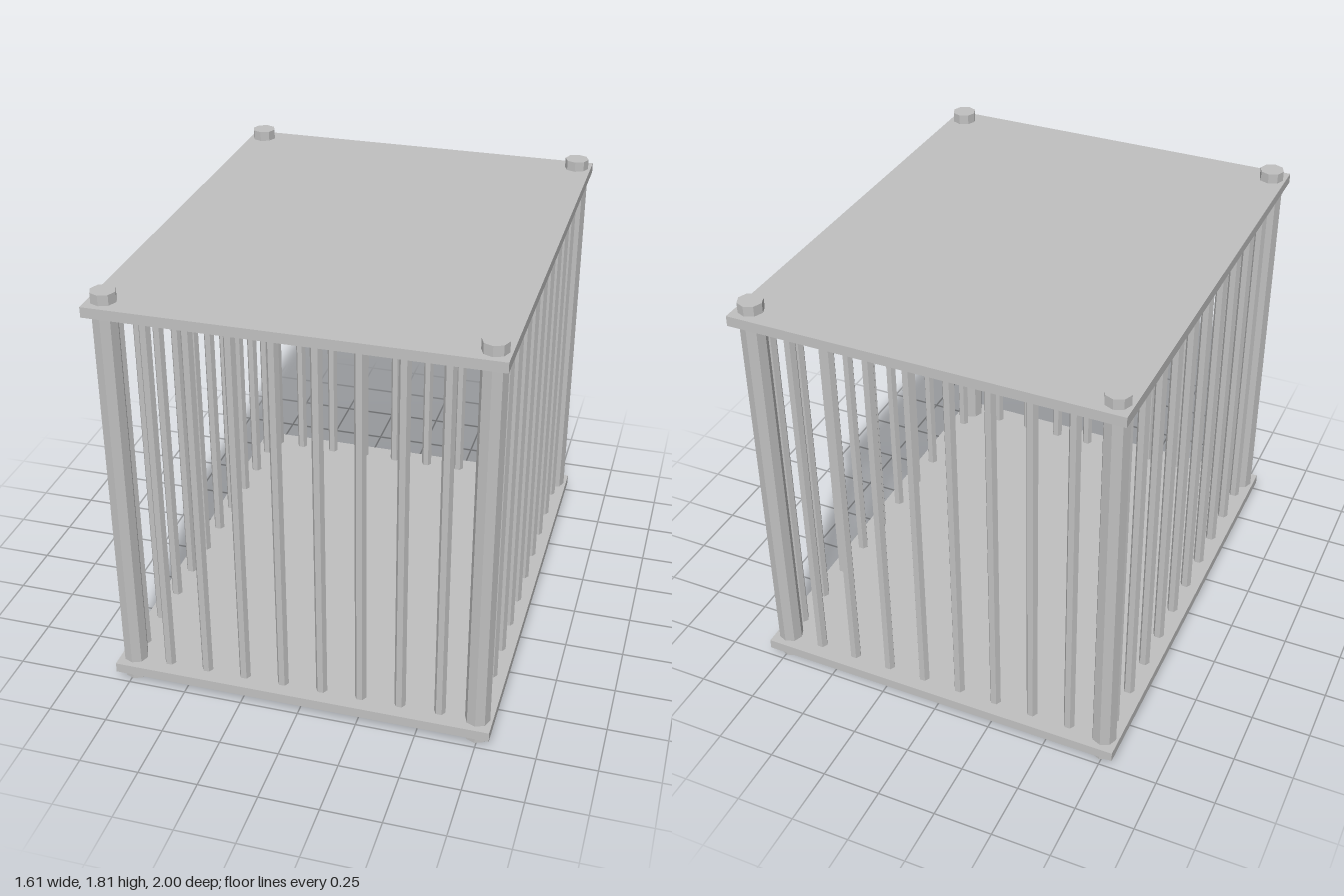
import * as THREE from 'three';

const HEIGHT = 1.807, PLATE = 0.043, GAP = 0.043; // posts stick out past each plate by GAP
const POST_X = 0.743, POST_Z = 0.923;

export function createModel() {
  const cage = new THREE.Group();
  cage.name = 'cage';
  const metal = new THREE.MeshStandardMaterial({ color: 0xc0c0c0, flatShading: true });
  metal.name = 'grey metal';

  const add = (name, geometry, x, y, z) => {
    const mesh = new THREE.Mesh(geometry, metal);
    mesh.name = name;
    mesh.position.set(x, y, z);
    cage.add(mesh);
  };

  // Floor and roof plates
  const plate = new THREE.BoxGeometry(1.612, PLATE, 2);
  add('floorPlate', plate, 0, GAP + PLATE / 2, 0);
  add('roofPlate', plate, 0, HEIGHT - GAP - PLATE / 2, 0);

  // Octagonal corner posts running through both plates
  const post = new THREE.CylinderGeometry(0.052, 0.052, HEIGHT, 8);
  for (const sx of [-1, 1])
    for (const sz of [-1, 1]) add('cornerPost', post, sx * POST_X, HEIGHT / 2, sz * POST_Z);

  // Thin six-sided bars between the plates
  const bar = new THREE.CylinderGeometry(0.024, 0.024, HEIGHT - 2 * (GAP + PLATE), 6);
  bar.rotateY(Math.PI / 2);
  for (let i = 0; i < 8; i++) {
    const x = (i - 3.5) * 0.1675;
    add('frontBar', bar, x, HEIGHT / 2, POST_Z);
    add('backBar', bar, x, HEIGHT / 2, -POST_Z);
  }
  for (let i = 0; i < 10; i++) {
    const z = (i - 4.5) * 0.182;
    add('leftBar', bar, POST_X, HEIGHT / 2, z);
    add('rightBar', bar, -POST_X, HEIGHT / 2, z);
  }
  return cage;
}
